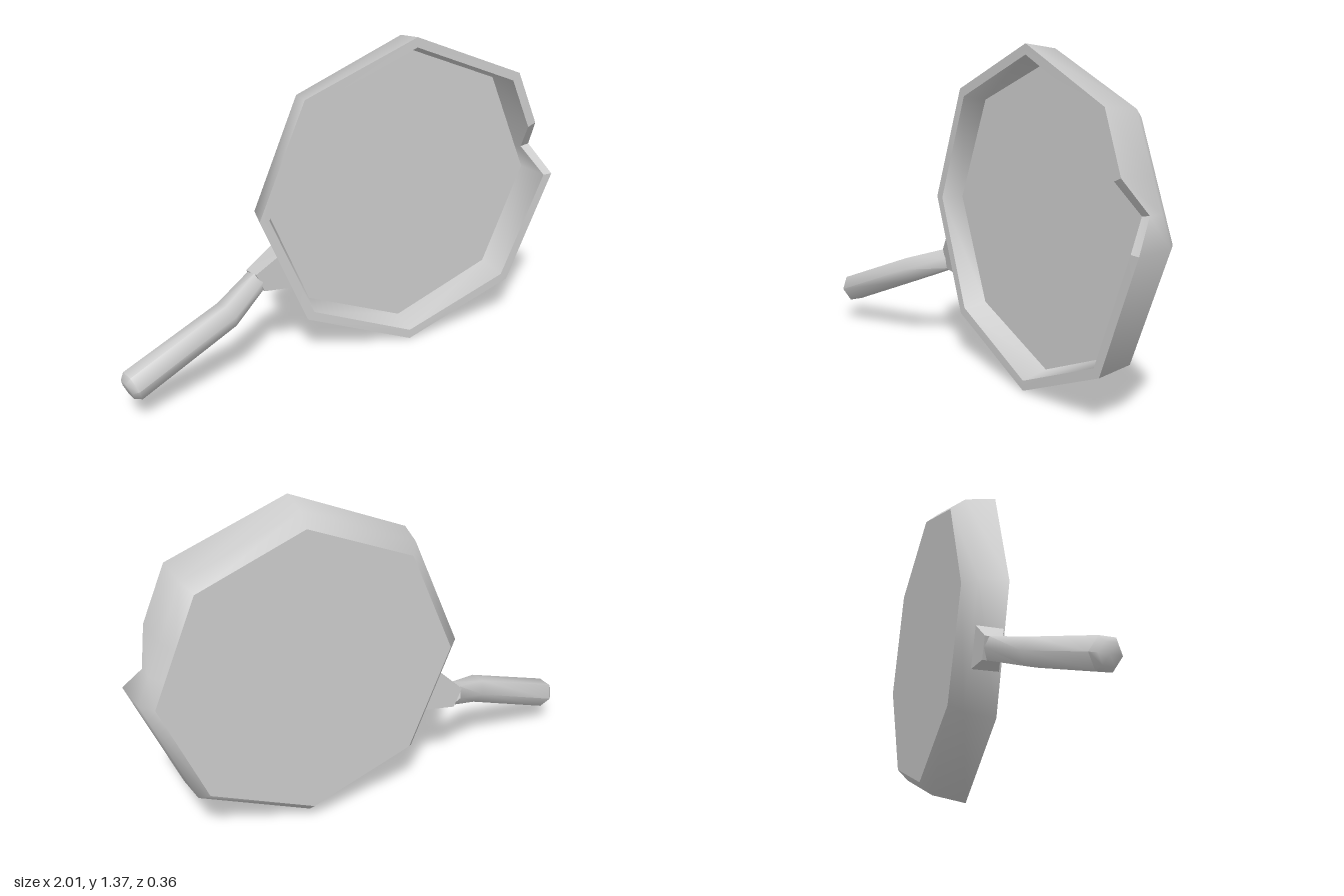
import * as THREE from 'three';
import { toCreasedNormals } from 'three/addons/utils/BufferGeometryUtils.js';

const V = (x, y, z) => new THREE.Vector3(x, y, z);

// Skin a list of equal-length closed rings, optionally capping both ends.
function loft(rings, crease, capped) {
  const n = rings[0].length;
  const pos = [];
  const tri = (...pts) => pts.forEach(p => pos.push(p.x, p.y, p.z));
  const middle = ring => ring.reduce((sum, p) => sum.add(p), V(0, 0, 0)).divideScalar(n);
  const first = rings[0], last = rings[rings.length - 1];
  const c0 = middle(first), c1 = middle(last);
  for (let j = 0; j < n; j++) {
    const k = (j + 1) % n;
    for (let i = 0; i < rings.length - 1; i++) {
      const a = rings[i], b = rings[i + 1];
      tri(a[j], a[k], b[k]);
      tri(a[j], b[k], b[j]);
    }
    if (capped) {
      tri(c0, first[k], first[j]);
      tri(c1, last[j], last[k]);
    }
  }
  const g = new THREE.BufferGeometry();
  g.setAttribute('position', new THREE.Float32BufferAttribute(pos, 3));
  g.computeVertexNormals();
  return toCreasedNormals(g, crease);
}

// Cross-section around a centre, facing along dir; w lies in the front plane, t across it.
function section(centre, dir, w, t, sides) {
  const d = dir.clone().normalize();
  const u = V(-d.y, d.x, 0).normalize();
  const v = d.clone().cross(u);
  return Array.from({ length: sides }, (_, i) => {
    const a = ((i + 0.5) / sides) * Math.PI * 2;
    return centre.clone().addScaledVector(u, w * Math.cos(a)).addScaledVector(v, t * Math.sin(a));
  });
}

export function createModel() {
  const group = new THREE.Group();
  const material = new THREE.MeshStandardMaterial({ color: 0xcccccc });
  const add = (name, geometry) => {
    const mesh = new THREE.Mesh(geometry, material);
    mesh.name = name;
    group.add(mesh);
  };

  // Octagon columns; two extra ones on the first side form the pouring notch.
  const cx = 0.313, cy = 0.688;
  const corner = i => new THREE.Vector2(Math.cos(i * Math.PI / 4), Math.sin(i * Math.PI / 4));
  const columns = [];
  for (let i = 0; i < 8; i++) columns.push({ p: corner(i) });
  columns.splice(1, 0,
    { p: corner(0).lerp(corner(1), 0.25), notch: true },
    { p: corner(0).lerp(corner(1), 0.52) });

  const ring = (r, z) => columns.map(({ p }) => V(cx + r * p.x, cy + r * p.y, z));
  // The rim slopes slightly towards the notch side and dips at the notch.
  const rim = (r, notchR) => columns.map(({ p, notch }) => {
    const k = notch ? notchR : r;
    return V(cx + k * p.x, cy + k * p.y, notch ? -0.06 : 0.017 + 0.025 * p.x);
  });
  const outerRim = rim(0.687, 0.673);
  const innerRim = rim(0.645, 0.63);
  const backZ = -0.18, floorZ = -0.097;

  // Pan: smooth bevelled wall, flat rim, inner wall, floor and underside
  add('outerWall', loft([ring(0.615, backZ), ring(0.665, -0.125), outerRim], 1.2, false));
  add('rim', loft([outerRim, innerRim], 0.3, false));
  add('innerWall', loft([innerRim, ring(0.62, floorZ)], 0.82, false));
  add('floor', new THREE.CircleGeometry(0.62, 8).translate(cx, cy, floorZ));
  add('underside', new THREE.CircleGeometry(0.615, 8).rotateY(Math.PI).translate(cx, cy, backZ));

  // Flared bracket between the pan wall and the handle
  const neck = V(-0.375, 0.396, -0.078);
  const root = V(-0.257, 0.447, -0.062);
  const q = Math.SQRT2;
  add('handleBracket', loft([
    section(root, V(-0.92, -0.39, -0.13), 0.085 * q, 0.055 * q, 4),
    section(neck, V(-0.92, -0.39, 0.25), 0.045 * q, 0.038 * q, 4),
  ], 0.3, true));

  // Bent six-sided handle with a bevelled tip
  const bend = V(-0.54, 0.327, 0.025);
  const end = V(-0.965, 0.157, 0.114);
  const d1 = bend.clone().sub(neck).normalize();
  const d2 = end.clone().sub(bend).normalize();
  const tip = end.clone().addScaledVector(d2, 0.025);
  add('handle', loft([
    section(neck, d1, 0.052, 0.045, 6),
    section(bend, d1.clone().add(d2), 0.061, 0.059, 6),
    section(end, d2, 0.065, 0.066, 6),
    section(tip, d2, 0.045, 0.045, 6),
  ], 1.1, true));

  return group;
}
